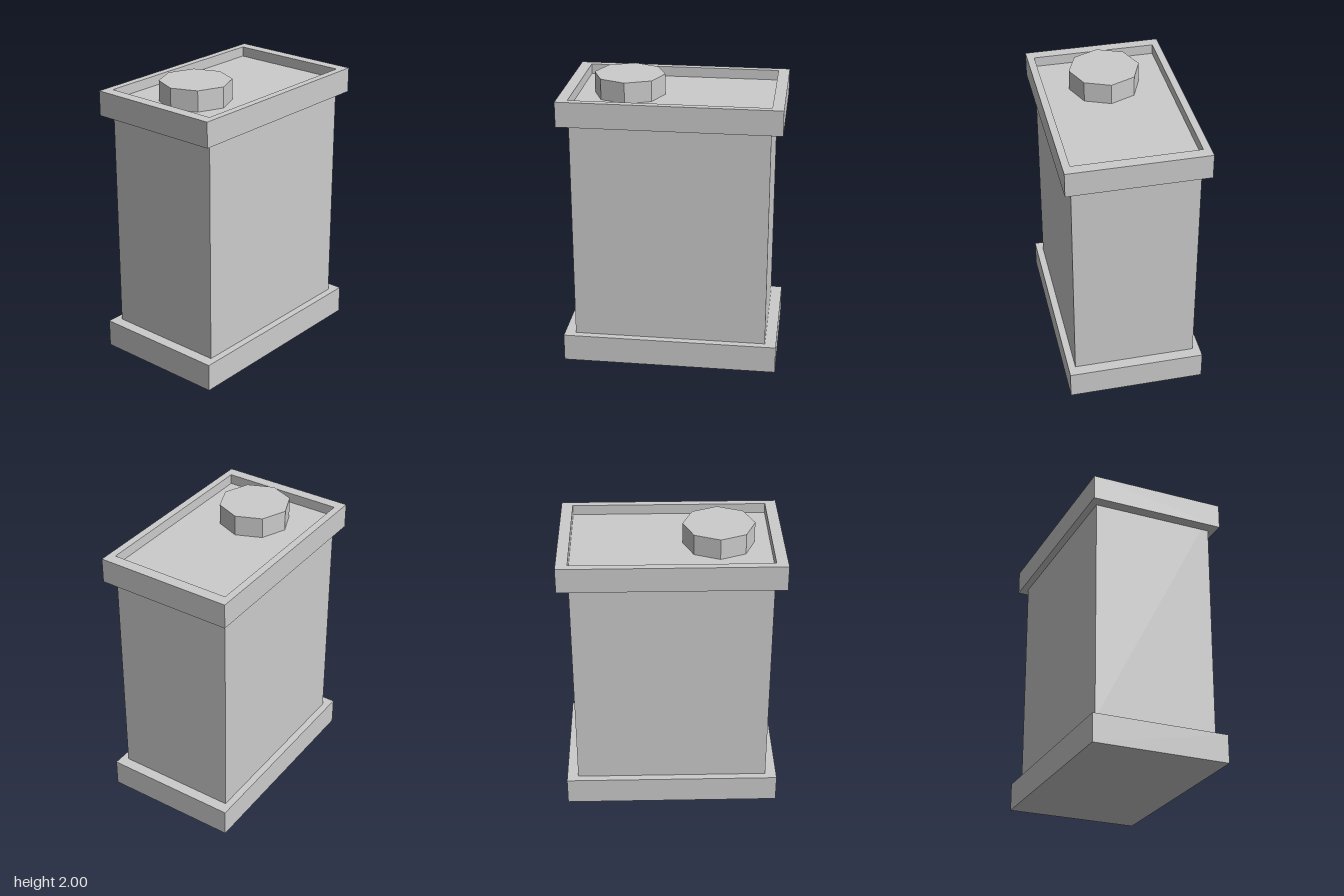
import * as THREE from 'three';

export function createModel() {
  const group = new THREE.Group();
  const material = new THREE.MeshStandardMaterial({ color: 0xcccccc, flatShading: true });

  const add = (name, geometry, x, y, z) => {
    const mesh = new THREE.Mesh(geometry, material);
    mesh.name = name;
    mesh.position.set(x, y, z);
    group.add(mesh);
  };
  // Adds a box whose underside and top lie at the given heights
  const addBox = (name, width, depth, bottom, top) =>
    add(name, new THREE.BoxGeometry(width, top - bottom, depth), 0, (bottom + top) / 2, 0);

  const outer = { w: 1.5, d: 0.954 };
  const inner = { w: 1.344, d: 0.854 };
  const baseTop = 0.195, rimBottom = 1.753, rimTop = 1.926, floorY = 1.856;

  // Plinth, and body whose top is the recessed floor inside the rim
  addBox('base', outer.w, outer.d, 0, baseTop);
  addBox('body', inner.w, inner.d, baseTop, floorY);

  // Raised rectangular rim around the top
  const rectangle = (path, { w, d }) => path
    .moveTo(-w / 2, -d / 2).lineTo(w / 2, -d / 2)
    .lineTo(w / 2, d / 2).lineTo(-w / 2, d / 2).closePath();
  const frame = rectangle(new THREE.Shape(), outer);
  frame.holes.push(rectangle(new THREE.Path(), inner));
  const rim = new THREE.ExtrudeGeometry(frame, { depth: rimTop - rimBottom, bevelEnabled: false });
  rim.rotateX(-Math.PI / 2);
  add('topRim', rim, 0, rimBottom, 0);

  // Octagonal cap standing on the recessed floor
  add('cap', new THREE.CylinderGeometry(0.244, 0.244, 2 - floorY, 8), -0.324, (2 + floorY) / 2, 0);

  return group;
}
